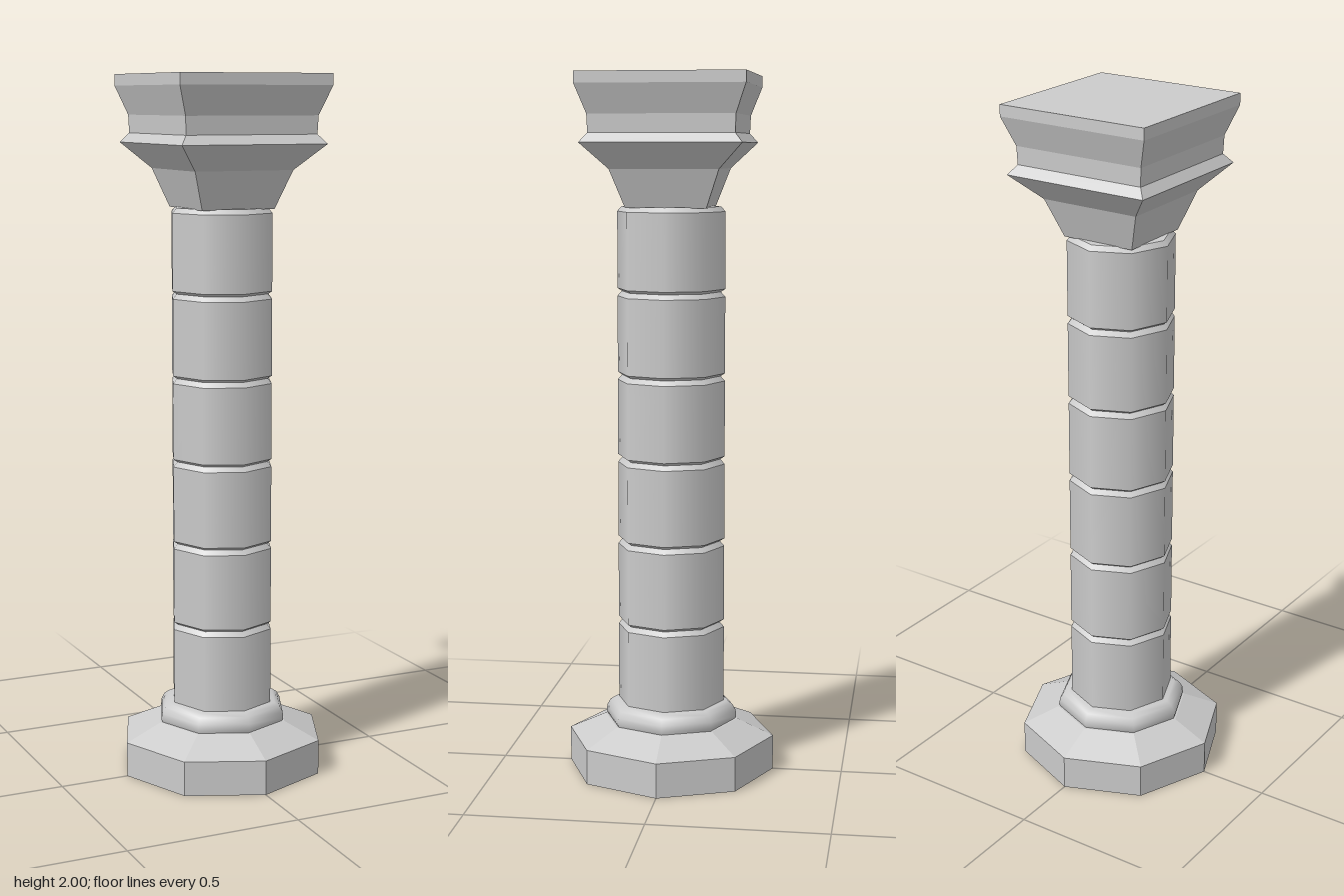
import * as THREE from 'three';

const smooth = new THREE.MeshStandardMaterial({ color: 0xcccccc });
const faceted = new THREE.MeshStandardMaterial({ color: 0xcccccc, flatShading: true });

// Stack of frustums following [radius, y] pairs; each band keeps its own crisp edges.
function stack(name, profile, sides, material, turn = 0) {
  const group = new THREE.Group();
  group.name = name;
  for (let i = 0; i < profile.length - 1; i++) {
    const [r0, y0] = profile[i];
    const [r1, y1] = profile[i + 1];
    const isEnd = i === 0 || i === profile.length - 2;
    const geo = new THREE.CylinderGeometry(r1, r0, y1 - y0, sides, 1, !isEnd);
    geo.rotateY(turn);
    geo.translate(0, (y0 + y1) / 2, 0);
    const mesh = new THREE.Mesh(geo, material);
    mesh.name = name + 'Band';
    group.add(mesh);
  }
  return group;
}

export function createModel() {
  const model = new THREE.Group();
  model.name = 'column';

  // Octagonal plinth with sloped top
  model.add(stack('plinth', [[0.3, 0], [0.3, 0.1], [0.195, 0.147]], 8, faceted));

  // Rounded moulding at the foot of the shaft
  const ringProfile = [[0.185, 0.14], [0.192, 0.155], [0.19, 0.173], [0.18, 0.19], [0.165, 0.2], [0.14, 0.203]]
    .map(([r, y]) => new THREE.Vector2(r, y));
  const ring = new THREE.Mesh(new THREE.LatheGeometry(ringProfile, 8), smooth);
  ring.name = 'footMoulding';
  model.add(ring);

  // Shaft of six drums separated by narrow grooves
  const shaftProfile = [[0.15, 0.19]];
  for (let i = 0; i < 6; i++) {
    const joint = 0.435 + i * 0.2395;
    shaftProfile.push([0.15, joint - 0.014], [0.138, joint]);
    if (i < 5) shaftProfile.push([0.15, joint + 0.008]);
  }
  const shaft = stack('shaft', shaftProfile, 8, smooth);
  shaft.scale.z = 1.03;
  model.add(shaft);

  // Square capital: flared neck, sharp rim, recessed band and top slab
  const capitalProfile = [
    [0.11, 1.63], [0.148, 1.738], [0.217, 1.81], [0.196, 1.836],
    [0.198, 1.887], [0.227, 1.968], [0.227, 2],
  ].map(([half, y]) => [half * Math.SQRT2, y]);
  const capital = stack('capital', capitalProfile, 4, faceted, Math.PI / 4);
  capital.scale.z = 1.03;
  model.add(capital);

  return model;
}
